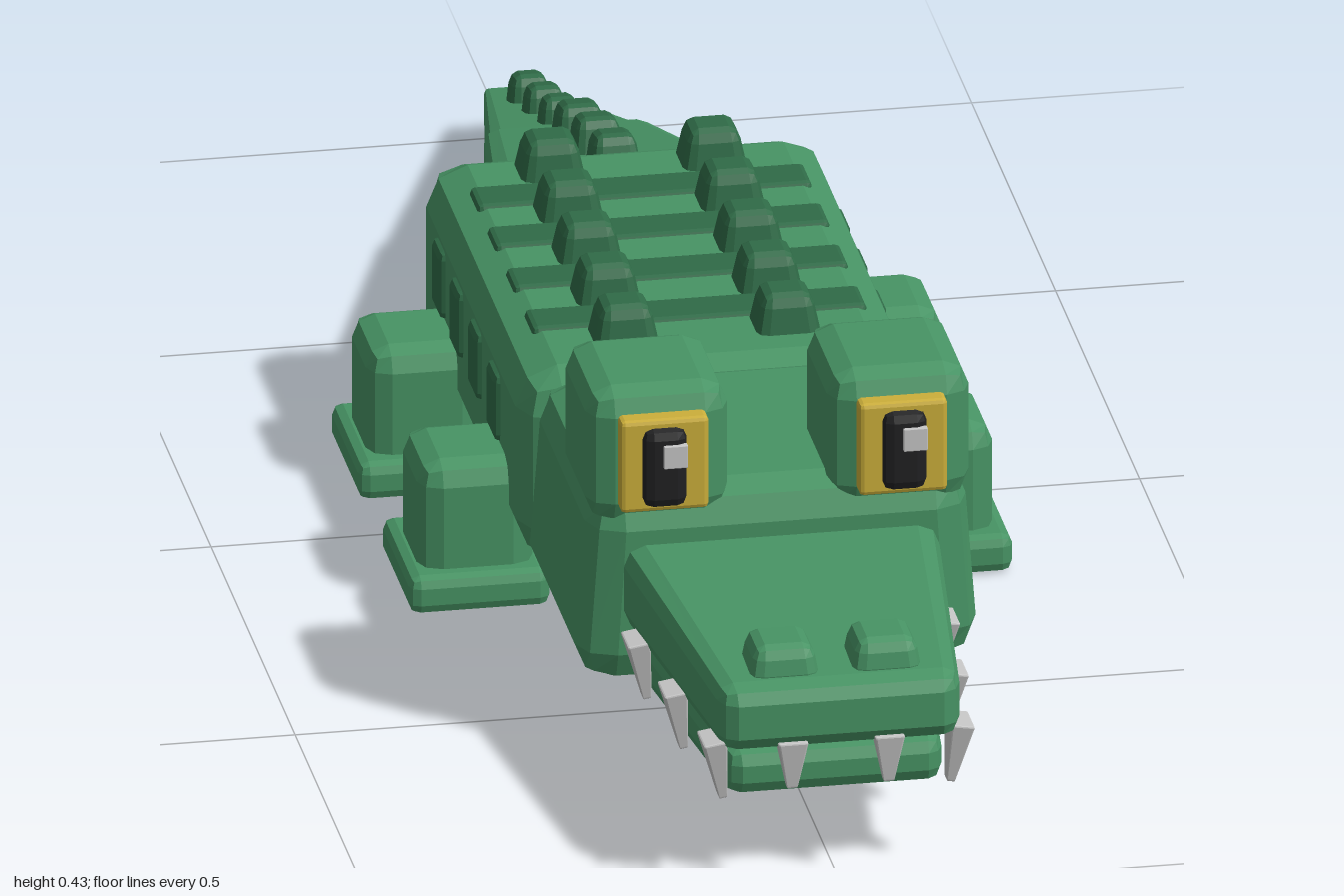
import * as THREE from 'three';
import { RoundedBoxGeometry } from 'three/addons/geometries/RoundedBoxGeometry.js';

const paint = (name, color) => {
  const m = new THREE.MeshStandardMaterial({ color });
  m.name = name;
  return m;
};

export function createModel() {
  const green = paint('skin green', 0x479364);
  const darkGreen = paint('scale green', 0x2f6b47);
  const sand = paint('belly sand', 0xc8c298);
  const yellow = paint('eye yellow', 0xcbae3a);
  const black = paint('pupil black', 0x202022);
  const grey = paint('tooth grey', 0xc6c6c6);

  const model = new THREE.Group();
  model.name = 'crocodile';

  // Bevelled block with flat facets; rule(v) may move each vertex
  function block(name, mat, size, pos, bevel, rule, parent = model) {
    const geo = new RoundedBoxGeometry(...size, 1, bevel);
    if (rule) {
      const p = geo.attributes.position;
      const v = new THREE.Vector3();
      for (let i = 0; i < p.count; i++) {
        v.fromBufferAttribute(p, i);
        rule(v);
        p.setXYZ(i, v.x, v.y, v.z);
      }
    }
    geo.computeVertexNormals();
    const mesh = new THREE.Mesh(geo, mat);
    mesh.name = name;
    mesh.position.set(...pos);
    parent.add(mesh);
    return mesh;
  }

  // Narrow a block towards its top (k < 1) or bottom (k > 1)
  const taperTop = (h, k) => (v) => {
    const s = THREE.MathUtils.lerp(1, k, v.y / h + 0.5);
    v.x *= s;
    v.z *= s;
  };

  // Block along z between two end sections [width, bottom, top]
  function loft(name, mat, zBack, back, zFront, front, bevel) {
    const w = Math.max(back[0], front[0]);
    const h = Math.max(back[2] - back[1], front[2] - front[1]);
    const d = zFront - zBack;
    return block(name, mat, [w, h, d], [0, 0, (zBack + zFront) / 2], bevel, (v) => {
      const t = v.z / d + 0.5;
      const [tw, y0, y1] = back.map((b, i) => THREE.MathUtils.lerp(b, front[i], t));
      v.x *= tw / w;
      v.y = THREE.MathUtils.lerp(y0, y1, v.y / h + 0.5);
    });
  }

  // Body and belly
  block('body', green, [0.43, 0.22, 0.62], [0, 0.178, -0.03], 0.045);
  block('belly', sand, [0.444, 0.107, 0.54], [0, 0.1065, -0.03], 0.025, (v) => {
    v.x *= THREE.MathUtils.lerp(0.84, 1, Math.min(1, v.y / 0.107 + 0.5));
  });

  // Dark bands over the back and down the flanks
  for (const z of [0.12, 0.01, -0.1, -0.205]) {
    block('backBand', darkGreen, [0.36, 0.06, 0.055], [0, 0.262, z], 0.006);
    block('flankBand', darkGreen, [0.444, 0.08, 0.055], [0, 0.2, z], 0.01);
  }

  // Two rows of back spikes
  for (const z of [0.17, 0.062, -0.048, -0.158, -0.268]) {
    for (const x of [-0.087, 0.087]) {
      block('backSpike', darkGreen, [0.076, 0.06, 0.072], [x, 0.3, z], 0.014, taperTop(0.06, 0.68));
    }
  }

  // Tail in two tapering lengths
  loft('tailBase', green, -0.665, [0.172, 0.064, 0.165], -0.32, [0.284, 0.076, 0.255], 0.025);
  loft('tailTip', green, -1, [0.05, 0.027, 0.06], -0.6, [0.19, 0.056, 0.18], 0.018);

  // Tail spikes: z, top height, size
  const tailSpikes = [
    [-0.37, 0.28, 0.062], [-0.472, 0.255, 0.062], [-0.575, 0.225, 0.062],
    [-0.69, 0.182, 0.052], [-0.782, 0.155, 0.052], [-0.872, 0.129, 0.052],
  ];
  for (const [z, top, s] of tailSpikes) {
    const spike = block('tailSpike', darkGreen, [s, 0.06, s], [0, top - 0.03, z], 0.012, taperTop(0.06, 0.68));
    spike.rotation.x = -0.2;
  }

  // Head and jaws
  block('head', green, [0.432, 0.222, 0.345], [0, 0.195, 0.46], 0.04, (v) => {
    if (v.y > 0.05) v.x *= 0.95;
  });
  loft('upperJaw', green, 0.58, [0.352, 0.152, 0.252], 0.99, [0.256, 0.158, 0.232], 0.024);
  loft('lowerJaw', green, 0.58, [0.31, 0.082, 0.145], 0.955, [0.23, 0.093, 0.146], 0.02);

  for (const side of [-1, 1]) {
    // Nostril
    block('nostril', green, [0.078, 0.045, 0.08], [side * 0.055, 0.243, 0.925], 0.014, taperTop(0.045, 0.8));

    // Eye: lid block, iris plate, pupil, highlight
    block('eyeSocket', green, [0.153, 0.155, 0.17], [side * 0.13, 0.3475, 0.545], 0.028);
    block('iris', yellow, [0.095, 0.106, 0.04], [side * 0.1285, 0.3475, 0.629], 0.005);
    block('pupil', black, [0.049, 0.092, 0.03], [side * 0.129, 0.346, 0.644], 0.012);
    block('eyeHighlight', grey, [0.026, 0.026, 0.008], [side * 0.129 + 0.01, 0.362, 0.659], 0.001);

    // Teeth along the side of the jaw
    for (const [x, z] of [[0.161, 0.685], [0.146, 0.82], [0.128, 0.955]]) {
      const tooth = block('sideTooth', grey, [0.024, 0.07, 0.042], [side * x, 0.133, z], 0.002, taperTop(0.07, 3));
      tooth.scale.set(0.36, 1, 0.36);
      tooth.rotation.z = -side * 0.16;
    }
    // Front tooth
    const fang = block('frontTooth', grey, [0.03, 0.055, 0.024], [side * 0.052, 0.141, 0.979], 0.002, taperTop(0.055, 2.9));
    fang.scale.set(0.38, 1, 0.38);

    // Legs and feet
    for (const z of [0.132, -0.172]) {
      block('leg', green, [0.125, 0.15, 0.13], [side * 0.2475, 0.086, z], 0.025);
      block('foot', green, [0.152, 0.043, 0.176], [side * 0.249, 0.0215, z], 0.012);
    }
  }

  return model;
}
